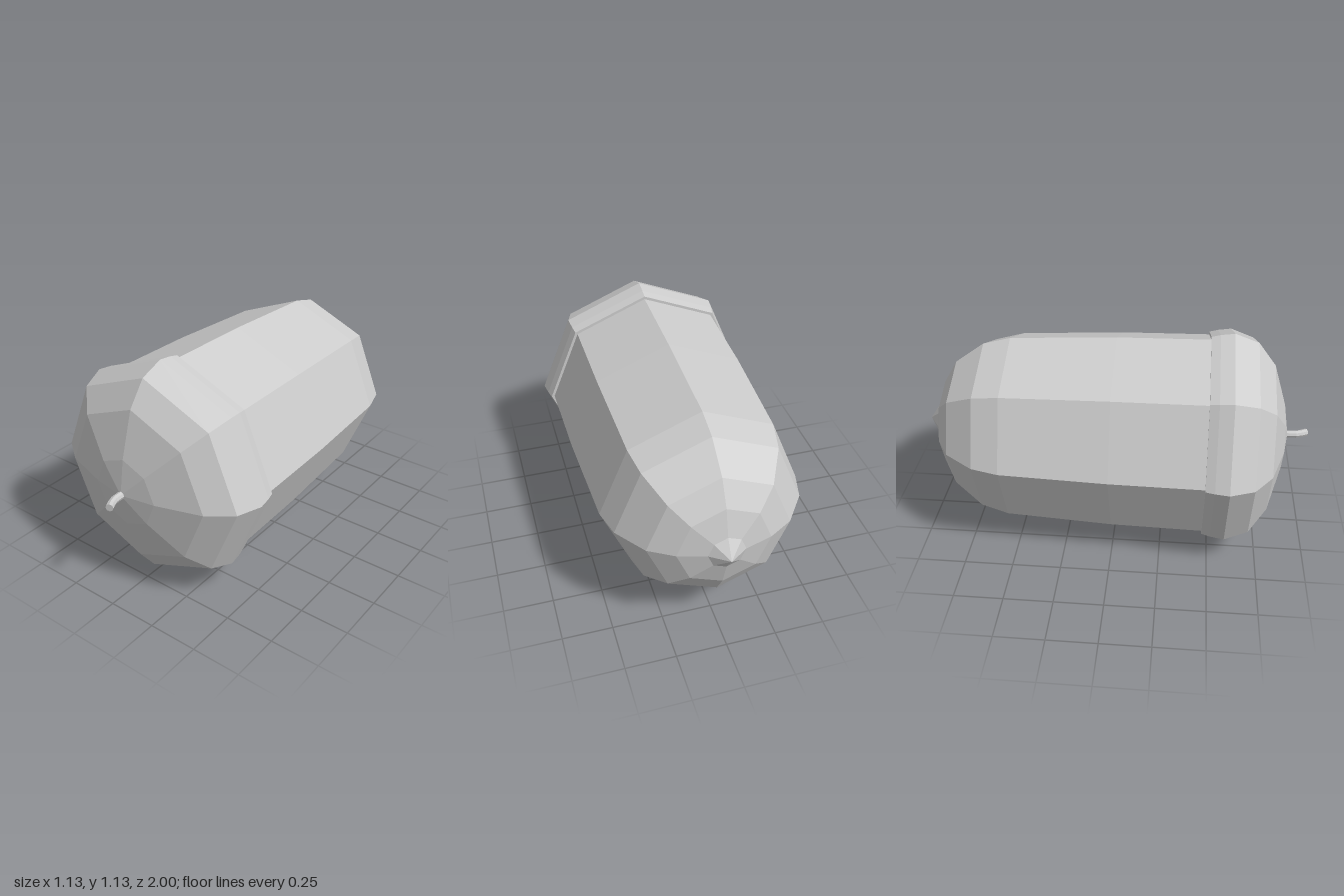
import * as THREE from 'three';

const SIDES = 8;
const CENTRE_Y = 0.57;

export function createModel() {
  const group = new THREE.Group();
  const material = new THREE.MeshStandardMaterial({ color: 0xcccccc, flatShading: true });

  const add = (name, geometry) => {
    const mesh = new THREE.Mesh(geometry, material);
    mesh.name = name;
    mesh.position.y = CENTRE_Y;
    group.add(mesh);
  };

  // Eight-sided solid of revolution lying along z; profile is [radius, z] from back to front
  const turned = (profile) =>
    new THREE.LatheGeometry(profile.map(([r, z]) => new THREE.Vector2(r, z)), SIDES).rotateX(Math.PI / 2);

  // Nut body with a pointed tip at the back
  add('nut', turned([
    [0, -1], [0.09, -0.94], [0.225, -0.9], [0.345, -0.83], [0.455, -0.68],
    [0.493, -0.54], [0.52, 0], [0.528, 0.48],
  ]));

  // Cap with an overhanging rim
  add('cap', turned([
    [0.5, 0.465], [0.543, 0.465], [0.555, 0.51], [0.565, 0.58],
    [0.52, 0.7], [0.4, 0.79], [0.175, 0.86], [0, 0.89],
  ]));

  // Short stem bending towards the left
  const bend = new THREE.CatmullRomCurve3([
    new THREE.Vector3(0, 0, 0.87),
    new THREE.Vector3(0.003, 0, 0.94),
    new THREE.Vector3(0.027, 0, 0.99),
  ]);
  add('stem', new THREE.TubeGeometry(bend, 4, 0.019, SIDES));

  // Flat end of the stem
  const end = bend.getTangent(1);
  const tip = new THREE.CircleGeometry(0.019, SIDES).rotateY(Math.atan2(end.x, end.z));
  add('stemEnd', tip.translate(0.027, 0, 0.99));

  return group;
}
